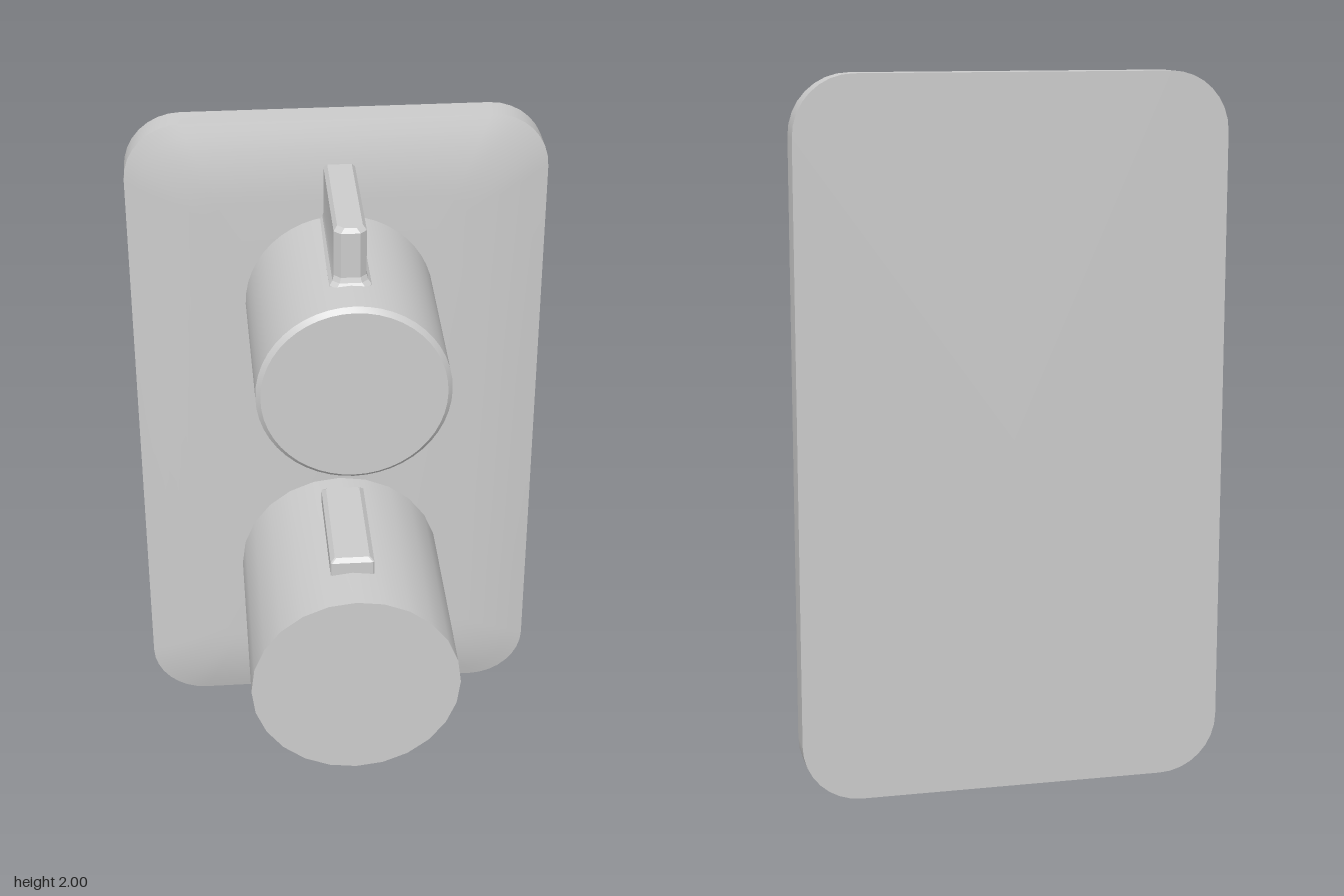
import * as THREE from 'three';
import { toCreasedNormals } from 'three/addons/utils/BufferGeometryUtils.js';

const material = new THREE.MeshStandardMaterial({ color: 0xcccccc });

function part(name, geometry, crease = 0.45) {
  const mesh = new THREE.Mesh(toCreasedNormals(geometry, crease), material);
  mesh.name = name;
  return mesh;
}

// Skin equal-length counter-clockwise rings stacked along +z, with both ends capped
function loft(rings) {
  const n = rings[0].length, index = [], last = (rings.length - 1) * n;
  const centres = [rings[0], rings[rings.length - 1]].map((ring) =>
    ring.reduce((sum, p) => sum.add(p), new THREE.Vector3()).divideScalar(n));
  const c = rings.length * n;
  for (let i = 0; i < n; i++) {
    const j = (i + 1) % n;
    for (let a = 0; a < last; a += n) {
      index.push(a + i, a + j, a + n + j, a + i, a + n + j, a + n + i);
    }
    index.push(c, j, i, c + 1, last + i, last + j);
  }
  const geometry = new THREE.BufferGeometry().setFromPoints([...rings.flat(), ...centres]);
  geometry.setIndex(index);
  geometry.computeVertexNormals();
  return geometry;
}

function roundedRing(halfW, halfH, r, z, steps = 8) {
  const ring = [];
  [[1, 1], [-1, 1], [-1, -1], [1, -1]].forEach(([sx, sy], k) => {
    for (let i = 0; i <= steps; i++) {
      const a = (k + i / steps) * Math.PI / 2;
      ring.push(new THREE.Vector3(
        sx * (halfW - r) + r * Math.cos(a), sy * (halfH - r) + r * Math.sin(a), z));
    }
  });
  return ring;
}

// Lever section: square at the back, chamfered at the front; ring y is minus model z
function leverRing(w, back, front, height, slope = 0) {
  const c = 0.018;
  return [[-w, c - front], [c - w, -front], [w - c, -front], [w, c - front], [w, -back], [-w, -back]]
    .map(([x, y]) => new THREE.Vector3(x, y, height + slope * y));
}

// Turned part along z from [radius, z] pairs
function turned(name, profile, y, segments) {
  const geometry = new THREE.LatheGeometry(profile.map(([r, z]) => new THREE.Vector2(r, z)), segments);
  geometry.rotateX(Math.PI / 2);
  const mesh = part(name, geometry);
  mesh.position.y = y;
  return mesh;
}

export function createModel() {
  const model = new THREE.Group();
  model.name = 'showerControl';

  // Wall plate with a softly domed front
  const plateRings = [roundedRing(0.6, 1, 0.165, -0.385)];
  for (let i = 0; i <= 6; i++) {
    const t = i / 6;
    plateRings.push(roundedRing(0.6 - 0.24 * t, 1 - 0.24 * t, 0.165 - 0.125 * t,
      -0.303 + 0.038 * (1 - (1 - t) ** 2)));
  }
  const plate = part('wallPlate', loft(plateRings));
  plate.position.y = 1;
  model.add(plate);

  // Upper knob: slight taper and bevelled front edge
  const upperY = 1.466, lowerY = 0.535;
  model.add(turned('upperNeck', [[0, -0.3], [0.228, -0.3], [0.228, -0.22], [0, -0.22]], upperY, 48));
  model.add(turned('upperKnob',
    [[0, -0.235], [0.271, -0.235], [0.266, 0.282], [0.253, 0.295], [0, 0.295]], upperY, 48));

  // Tall lever, flared where it meets the upper knob
  const lever = loft([
    leverRing(0.057, -0.235, 0.175, 1.69),
    leverRing(0.057, -0.235, 0.175, 1.728),
    leverRing(0.048, -0.235, 0.165, 1.738),
    leverRing(0.044, -0.235, 0.16, 1.752),
    leverRing(0.044, -0.235, 0.16, 1.884, 0.015),
    leverRing(0.034, -0.226, 0.15, 1.896, 0.015),
  ]);
  lever.rotateX(-Math.PI / 2);
  model.add(part('upperLever', lever, 0.3));

  // Lower knob: plain, larger cylinder
  model.add(turned('lowerNeck', [[0, -0.3], [0.228, -0.3], [0.228, -0.23], [0, -0.23]], lowerY, 48));
  model.add(turned('lowerKnob',
    [[0, -0.248], [0.304, -0.248], [0.304, 0.385], [0, 0.385]], lowerY, 24));

  // Low grip bar with a bevelled top
  const bar = loft([
    roundedRing(0.063, 0.19, 0.004, 0.8, 1),
    roundedRing(0.063, 0.19, 0.004, 0.873, 1),
    roundedRing(0.05, 0.178, 0.004, 0.885, 1),
  ]);
  bar.rotateX(-Math.PI / 2);
  const grip = part('lowerGrip', bar, 0.3);
  grip.position.z = 0.052;
  model.add(grip);

  return model;
}
